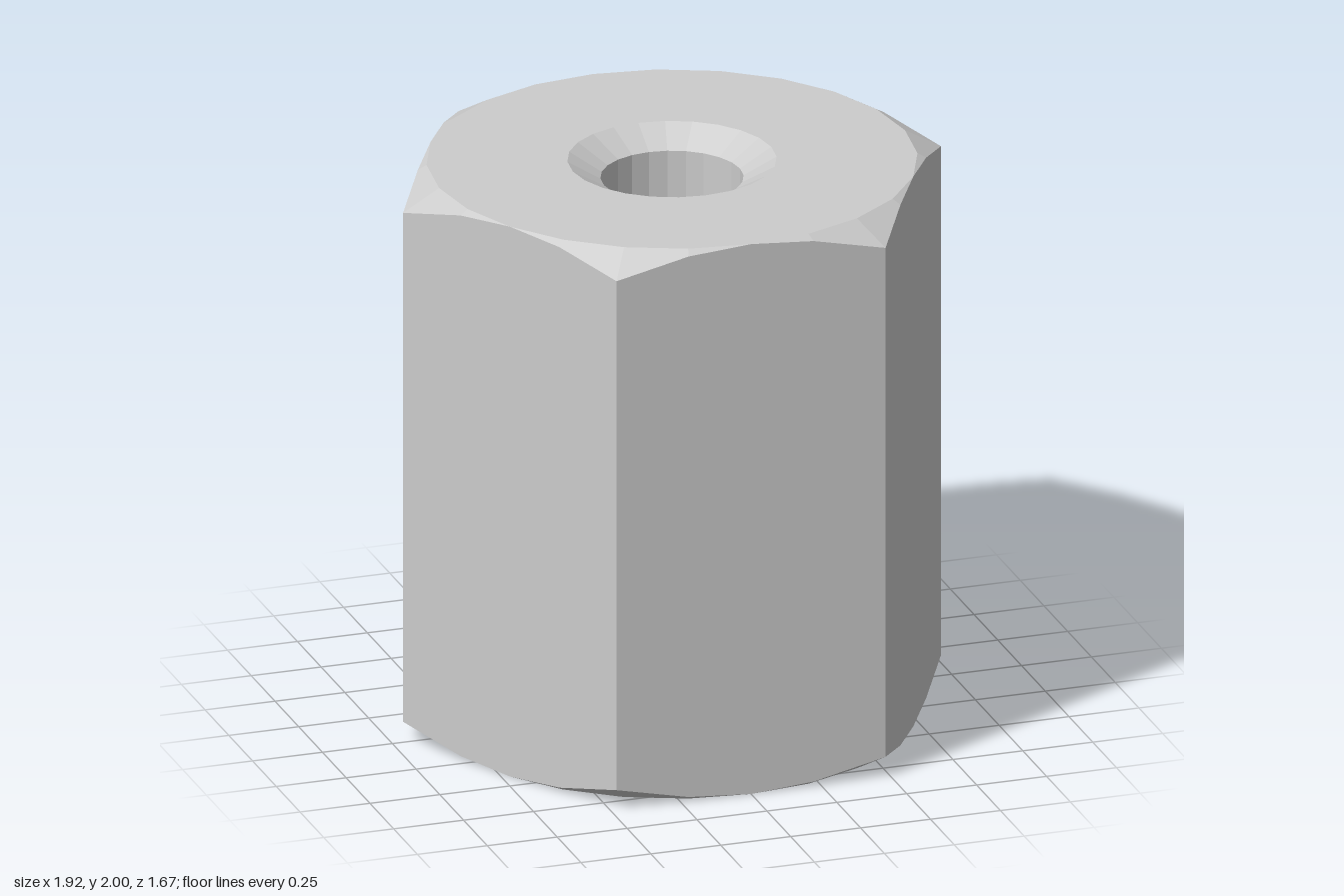
import * as THREE from 'three';

const SEG = 24;            // facets around the axis (15 degrees each)
const HEIGHT = 2;
const APOTHEM = 0.833;     // half the distance across flats
const BORE = 0.243;
const RIM = 0.355;         // countersink mouth
const SLOPE = Math.tan(Math.PI / 6);

// Radius of the hexagon at a given angle, corners on the x axis
function hexRadius(a) {
  const s = Math.PI / 3;
  const k = ((a % s) + s) % s;
  return APOTHEM / Math.cos(k - s / 2);
}

// Sweep cross-sections (angle -> list of [radius, y]) around the y axis
function sweep(section) {
  const pos = [];
  const ring = (i) => {
    const a = ((i % SEG) / SEG) * Math.PI * 2;
    return section(a).map(([r, y]) => new THREE.Vector3(r * Math.cos(a), y, -r * Math.sin(a)));
  };
  const tri = (a, b, c) => {
    const area = b.clone().sub(a).cross(c.clone().sub(a)).length();
    if (area > 1e-7) for (const p of [a, b, c]) pos.push(p.x, p.y, p.z);
  };
  for (let i = 0; i < SEG; i++) {
    const p = ring(i), q = ring(i + 1);
    for (let j = 0; j + 1 < p.length; j++) {
      tri(p[j], p[j + 1], q[j + 1]);
      tri(p[j], q[j + 1], q[j]);
    }
  }
  const g = new THREE.BufferGeometry();
  g.setAttribute('position', new THREE.Float32BufferAttribute(pos, 3));
  g.computeVertexNormals();
  return g;
}

export function createModel() {
  const group = new THREE.Group();
  group.name = 'hexSpacerNut';
  const material = new THREE.MeshStandardMaterial({ color: 0xcccccc, flatShading: true });
  const add = (name, section) => {
    const mesh = new THREE.Mesh(sweep(section), material);
    mesh.name = name;
    group.add(mesh);
  };

  // Hexagonal shell: end faces, conical corner chamfers and six flats
  add('hexBody', (a) => {
    const r = hexRadius(a);
    const drop = SLOPE * (r - APOTHEM);
    return [
      [RIM, HEIGHT], [APOTHEM, HEIGHT], [r, HEIGHT - drop],
      [r, drop], [APOTHEM, 0], [RIM, 0],
    ];
  });

  // Through hole with a countersink at each end
  const sink = SLOPE * (RIM - BORE);
  add('bore', () => [[RIM, 0], [BORE, sink], [BORE, HEIGHT - sink], [RIM, HEIGHT]]);

  return group;
}
